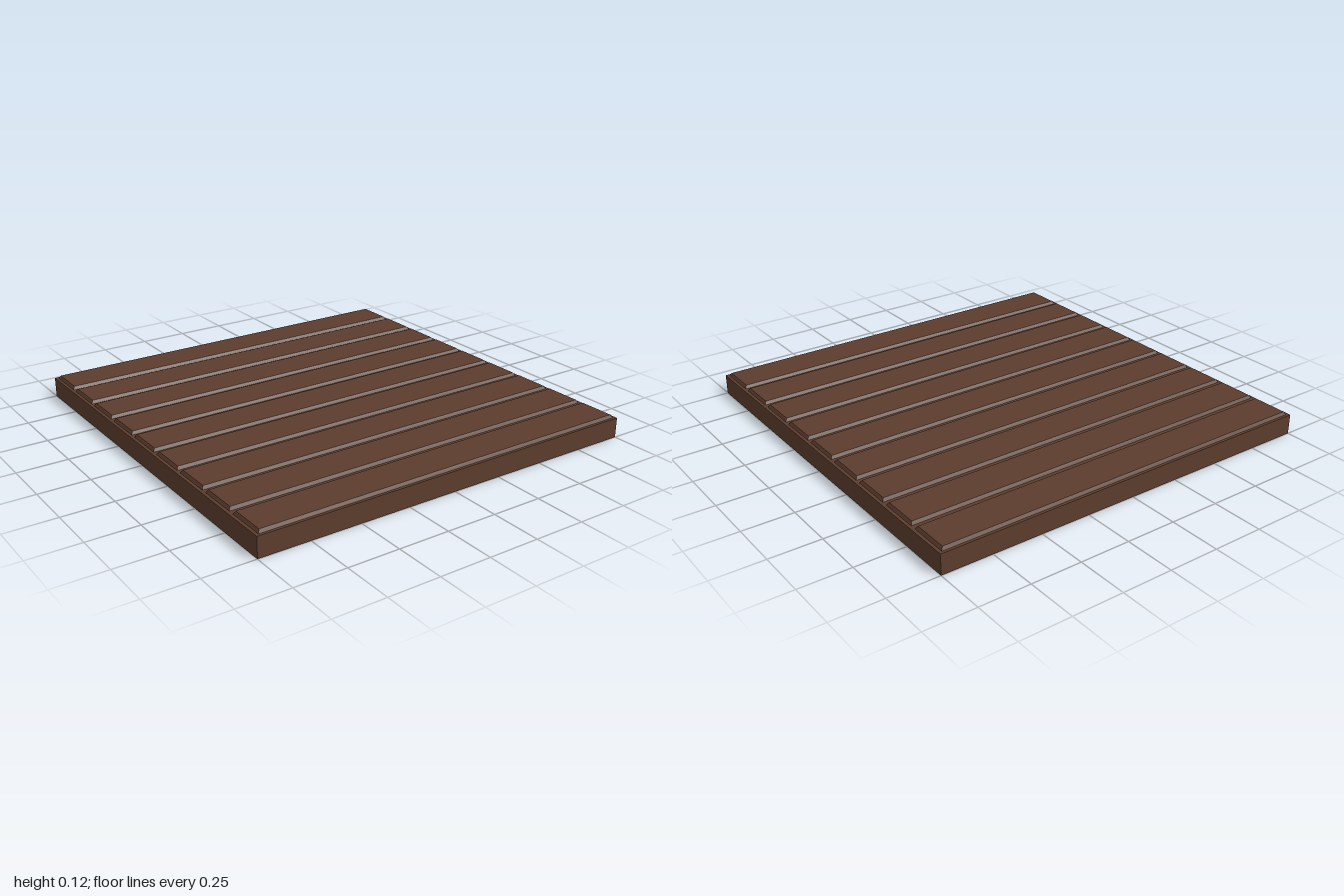
import * as THREE from 'three';

// Box whose top face is inset on all sides, giving sloped edges
function bevelledPlank(width, height, depth, inset) {
  const geometry = new THREE.BoxGeometry(width, height, depth);
  const p = geometry.attributes.position;
  for (let i = 0; i < p.count; i++) {
    if (p.getY(i) > 0) {
      p.setX(i, p.getX(i) - Math.sign(p.getX(i)) * inset);
      p.setZ(i, p.getZ(i) - Math.sign(p.getZ(i)) * inset);
    }
  }
  geometry.computeVertexNormals();
  return geometry;
}

export function createModel() {
  const group = new THREE.Group();
  group.name = 'plankFloor';
  const wood = new THREE.MeshStandardMaterial({ color: 0x5c3d2e });
  wood.name = 'dark brown wood';

  // Supporting slab
  const slabHeight = 0.1;
  const slab = new THREE.Mesh(new THREE.BoxGeometry(2, slabHeight, 2), wood);
  slab.name = 'slab';
  slab.position.y = slabHeight / 2;
  group.add(slab);

  // Row of raised planks with narrow gaps
  const count = 9;
  const pitch = 2 / count;
  const plankHeight = 0.015;
  const plankGeometry = bevelledPlank(1.97, plankHeight, 0.195, 0.009);
  for (let i = 0; i < count; i++) {
    const plank = new THREE.Mesh(plankGeometry, wood);
    plank.name = `plank${i + 1}`;
    plank.position.set(0, slabHeight + plankHeight / 2, (i - (count - 1) / 2) * pitch);
    group.add(plank);
  }
  return group;
}
